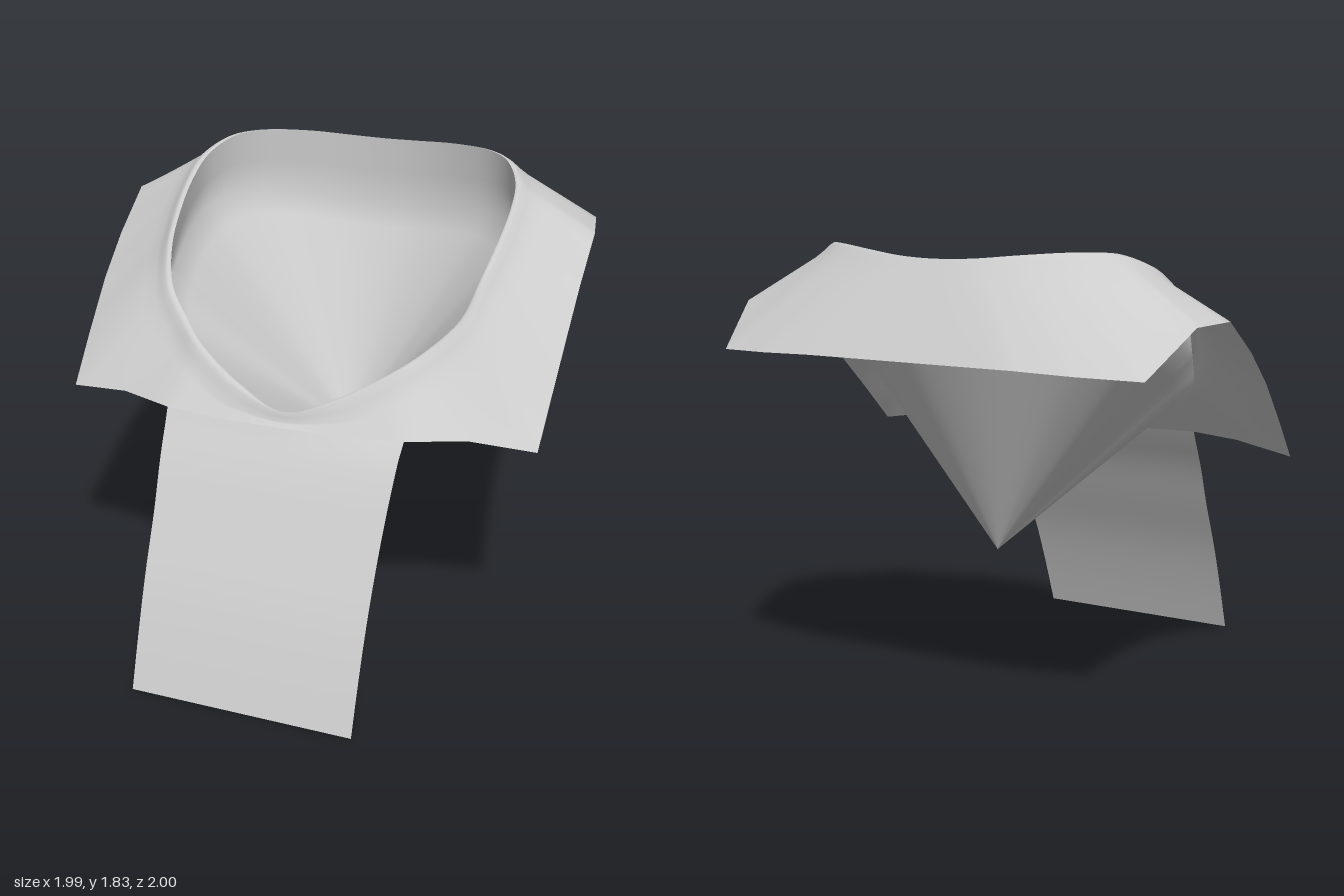
import * as THREE from 'three';

// Half outline from front centre to back centre: rim x,y,z then flange edge x,y,z
const STATIONS = [
  [0, 1.05, 0.46, 0, 1.0, 0.5],
  [0.2, 1.12, 0.415, 0.25, 1.0, 0.495],
  [0.4, 1.225, 0.32, 0.485, 1.01, 0.48],
  [0.5, 1.29, 0.23, 0.71, 1.01, 0.395],
  [0.6, 1.39, 0.14, 0.965, 0.975, 0.335],
  [0.645, 1.52, 0.03, 0.975, 1.14, 0.17],
  [0.67, 1.62, -0.12, 0.985, 1.32, -0.02],
  [0.68, 1.71, -0.28, 0.99, 1.46, -0.2],
  [0.665, 1.78, -0.42, 0.995, 1.6, -0.43],
  [0.6, 1.83, -0.55, 0.96, 1.6, -0.65],
  [0.5, 1.84, -0.65, 0.88, 1.44, -0.9],
  [0.32, 1.83, -0.74, 0.65, 1.45, -0.965],
  [0.15, 1.815, -0.785, 0.42, 1.46, -1],
  [0, 1.81, -0.795, 0, 1.46, -1],
];
const STEPS = 5; // subdivisions between stations

// Surface through rows of points; closed rows join end to start
function loft(rows, closed) {
  const n = rows[0].length, pos = [], index = [];
  rows.forEach(row => row.forEach(p => pos.push(p.x, p.y, p.z)));
  for (let r = 0; r < rows.length - 1; r++) {
    for (let i = 0; i < (closed ? n : n - 1); i++) {
      const a = r * n + i, b = r * n + (i + 1) % n;
      index.push(a, a + n, b, b, a + n, b + n);
    }
  }
  const g = new THREE.BufferGeometry();
  g.setAttribute('position', new THREE.Float32BufferAttribute(pos, 3));
  g.setIndex(index);
  g.computeVertexNormals();
  return g;
}

export function createModel() {
  const group = new THREE.Group();
  const grey = new THREE.MeshStandardMaterial({ color: 0xcccccc, side: THREE.DoubleSide });
  grey.name = 'light grey';
  const add = (name, geometry) => {
    const m = new THREE.Mesh(geometry, grey);
    m.name = name;
    group.add(m);
  };

  // Mirror the half outline into full loops
  const mirrored = STATIONS.slice(1, -1).reverse().map(s => [-s[0], s[1], s[2], -s[3], s[4], s[5]]);
  const all = [...STATIONS, ...mirrored];
  const rimKeys = all.map(s => new THREE.Vector3(s[0], s[1], s[2]));
  const edgeKeys = all.map(s => new THREE.Vector3(s[3], s[4], s[5]));
  const curve = new THREE.CatmullRomCurve3(rimKeys, true);
  const rim = [], edge = [];
  for (let i = 0; i < all.length * STEPS; i++) {
    const k = Math.floor(i / STEPS), f = (i % STEPS) / STEPS;
    rim.push(curve.getPoint(i / (all.length * STEPS)));
    edge.push(edgeKeys[k].clone().lerp(edgeKeys[(k + 1) % all.length], f));
  }

  // Flange: rolled lip at the rim, then an almost straight skirt to the edge
  const lipNormal = new THREE.Vector3(0, 0.857, 0.515);
  const skirt = [[0, 0], [0.015, 0.012], [0.035, 0.014], [0.06, 0.004], [0.1, -0.004]];
  const flangeRows = skirt.map(([out, lift]) => rim.map((p, i) => {
    const d = edge[i].clone().sub(p);
    const len = d.length();
    return p.clone().addScaledVector(d, Math.min(out, len * out * 6) / len)
      .addScaledVector(lipNormal, lift);
  }));
  const lipEnd = flangeRows[flangeRows.length - 1];
  for (let r = 1; r <= 6; r++) {
    flangeRows.push(lipEnd.map((p, i) => p.clone().lerp(edge[i], r / 6)));
  }
  add('flange', loft(flangeRows, true));

  // Bowl: short wall below the rim, then a cone down to one point
  const apex = new THREE.Vector3(0, 0.63, -0.35);
  const wall = rim.map(p => new THREE.Vector3(
    p.x * 1.02, p.y - 0.08 - 0.22 * (0.46 - p.z) / 1.26, p.z + 0.01 * Math.sign(p.z)));
  const bowlRows = [rim, rim.map((p, i) => p.clone().lerp(wall[i], 0.5))];
  for (let r = 0; r <= 10; r++) {
    bowlRows.push(wall.map(p => p.clone().lerp(apex, Math.min(r / 10, 0.998))));
  }
  add('bowl', loft(bowlRows, true));

  // Tongue: curved strip hanging from the front of the flange
  const path = new THREE.CatmullRomCurve3([
    [0.485, 1.01, 0.49], [0.475, 0.84, 0.6], [0.465, 0.65, 0.7],
    [0.46, 0.43, 0.815], [0.457, 0.22, 0.905], [0.455, 0.01, 0.985],
  ].map(p => new THREE.Vector3(...p)));
  const tongueRows = path.getPoints(16).map((p, r) => {
    const row = [];
    for (let i = 0; i <= 10; i++) {
      const u = i / 5 - 1;
      const z = r === 0 ? 0.5 - 0.02 * Math.abs(u) : p.z + 0.013 * u;
      row.push(new THREE.Vector3(p.x * u, p.y - (r === 0 ? 0.01 * (1 - Math.abs(u)) : 0), z));
    }
    return row;
  });
  add('tongue', loft(tongueRows, false));

  return group;
}
